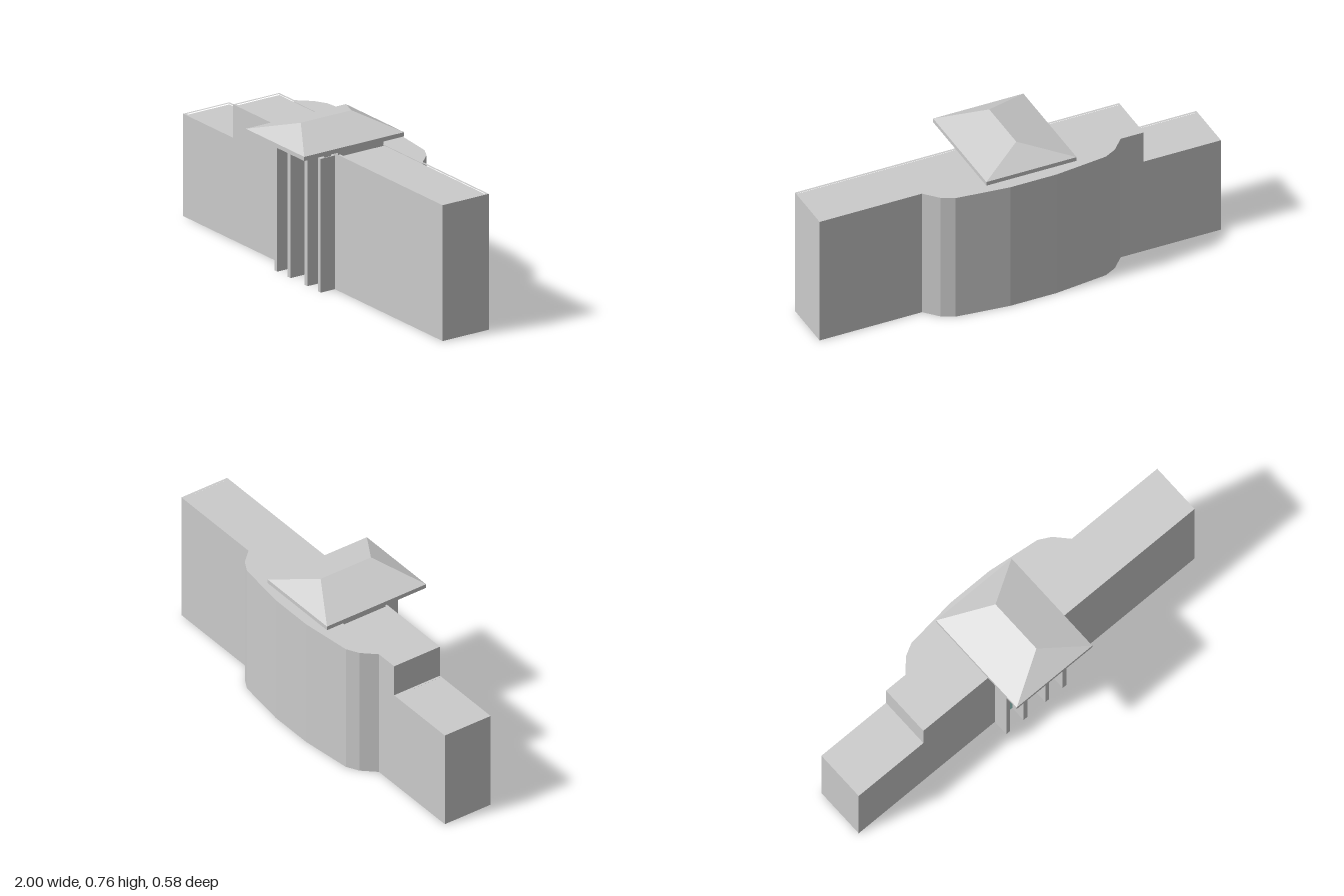
import * as THREE from 'three';

const grey = new THREE.MeshStandardMaterial({ color: 0xcccccc, flatShading: true });
const glass = new THREE.MeshStandardMaterial({ color: 0xa5dcd6 });
const frame = new THREE.MeshStandardMaterial({ color: 0xb5aaa6 });

const BACK = -0.165, FRONT = 0.09;

export function createModel() {
  const model = new THREE.Group();

  const add = (name, geometry, material = grey, parent = model) => {
    const mesh = new THREE.Mesh(geometry, material);
    mesh.name = name;
    parent.add(mesh);
    return mesh;
  };
  // Box given by its extents
  const box = (name, [x0, x1], [y0, y1], [z0, z1], material, parent) =>
    add(name, new THREE.BoxGeometry(x1 - x0, y1 - y0, z1 - z0), material, parent)
      .position.set((x0 + x1) / 2, (y0 + y1) / 2, (z0 + z1) / 2);
  // Upright prism from a plan outline of [x, z] points
  const outline = (pts) => pts.map(([x, z]) => new THREE.Vector2(x, -z));
  const prism = (name, pts, y0, y1, hole) => {
    const shape = new THREE.Shape(outline(pts));
    if (hole) shape.holes.push(new THREE.Path(outline(hole)));
    const geometry = new THREE.ExtrudeGeometry(shape, { depth: y1 - y0, bevelEnabled: false });
    add(name, geometry.rotateX(-Math.PI / 2).translate(0, y0, 0));
  };
  const rect = (x0, x1, z0, z1) => [[x0, z0], [x1, z0], [x1, z1], [x0, z1]];

  // Wings: flat roofs sunk behind a thin parapet
  const wing = (name, x0, x1, top) => {
    const t = 0.011, deck = top - 0.01;
    box(name, [x0, x1], [0, deck], [BACK, FRONT]);
    prism(name + 'Parapet', rect(x0, x1, BACK, FRONT), deck, top,
      rect(x0 + t, x1 - t, BACK + t, FRONT - t));
  };
  wing('mainWing', -0.615, 1, 0.65);
  wing('lowWing', -1, -0.615, 0.49);

  // Faceted bow on the back
  prism('rearBow', [[-0.5, BACK], [-0.44, -0.23], [-0.38, -0.262], [-0.12, -0.292],
    [0.11, -0.292], [0.37, -0.262], [0.43, -0.23], [0.49, BACK]], 0, 0.65);

  // Entrance block rising above the wings to carry the roof
  box('entranceCore', [-0.21, 0.195], [0.6, 0.67], [-0.161, FRONT]);

  // Fins with short posts up to the roof
  const fins = [-0.178, -0.075, 0.055, 0.158];
  for (const x of fins) {
    box('fin', [x - 0.011, x + 0.011], [0, 0.64], [FRONT, 0.168]);
    box('finPost', [x - 0.007, x + 0.007], [0.64, 0.67], [0.108, 0.148]);
  }

  // Glazing between the fins, with a fine grid of bars
  for (let i = 0; i < 3; i++) {
    const bay = new THREE.Group();
    bay.name = 'glazedBay';
    model.add(bay);
    const x0 = fins[i] + 0.011, x1 = fins[i + 1] - 0.011;
    box('glass', [x0, x1], [0, 0.67], [FRONT - 0.01, FRONT + 0.001], glass, bay);
    const columns = i === 1 ? 5 : 4;
    for (let c = 1; c < columns; c++) {
      const x = x0 + (x1 - x0) * c / columns;
      box('mullion', [x - 0.001, x + 0.001], [0, 0.67], [FRONT, FRONT + 0.002], frame, bay);
    }
    for (let y = 0.1; y < 0.66; y += 0.04)
      box('transom', [x0, x1], [y - 0.001, y + 0.001], [FRONT, FRONT + 0.002], frame, bay);
  }

  // Hipped roof on a thin eaves slab
  const X0 = -0.235, X1 = 0.215, Z0 = -0.26, Z1 = 0.292, eaves = 0.69;
  box('eavesSlab', [X0, X1], [0.67, eaves], [Z0, Z1]);
  const a = [X0, eaves, Z1], b = [X1, eaves, Z1], c = [X1, eaves, Z0], d = [X0, eaves, Z0];
  const f = [0, 0.76, 0.157], r = [0, 0.76, -0.123];
  const hips = new THREE.BufferGeometry();
  hips.setAttribute('position', new THREE.Float32BufferAttribute(
    [a, b, f, b, c, r, b, r, f, c, d, r, d, a, f, d, f, r].flat(), 3));
  hips.computeVertexNormals();
  add('hippedRoof', hips);

  return model;
}
